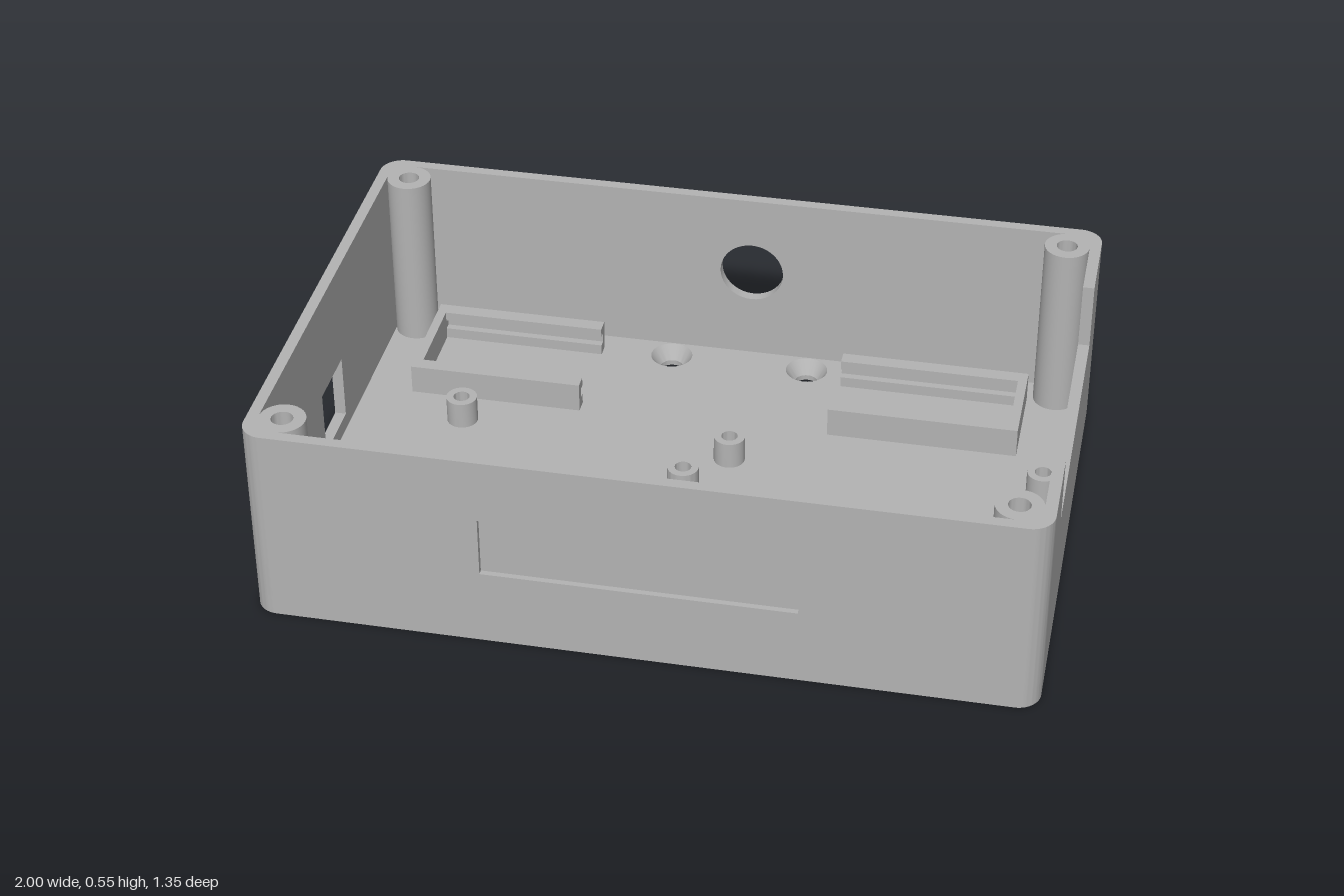
import * as THREE from 'three';
import { toCreasedNormals } from 'three/addons/utils/BufferGeometryUtils.js';

const H = 0.55, FLOOR = 0.055, WALL = 0.03;
const X = 1, Z = 0.675, BX = 0.91, BZ = 0.585; // outer half sizes, corner boss centres

const arc = (cx, cy, r, a0, a1, n = 24) => Array.from({ length: n + 1 }, (_, i) => {
  const a = a0 + (a1 - a0) * i / n;
  return new THREE.Vector2(cx + r * Math.cos(a), cy + r * Math.sin(a));
});
const circle = (cx, cy, r, n = 32) => new THREE.Path(arc(cx, cy, r, 0, Math.PI * 2, n).slice(0, n));
const poly = (pts) => new THREE.Shape(pts.map(([a, b]) => new THREE.Vector2(a, b)));
const rect = (x0, y0, x1, y1) => poly([[x0, y0], [x1, y0], [x1, y1], [x0, y1]]);

export function createModel() {
  const group = new THREE.Group();
  const grey = new THREE.MeshStandardMaterial({ color: 0xb3b3b3 });
  grey.name = 'grey plastic';

  const add = (name, geo) => {
    const mesh = new THREE.Mesh(toCreasedNormals(geo, 0.5), grey);
    mesh.name = name;
    group.add(mesh);
    return mesh;
  };
  const extrude = (shape, depth) =>
    new THREE.ExtrudeGeometry(shape, { depth, bevelEnabled: false, curveSegments: 12 });
  // plan shapes use (x, -z) and rise from y0 to y1
  const rise = (name, shape, y0, y1) =>
    add(name, extrude(shape, y1 - y0).rotateX(-Math.PI / 2).translate(0, y0, 0));

  const standoffs = [[-0.67, -0.17], [0.08, -0.13], [0.92, -0.13], [-0.015, 0.03],
    [-0.015, 0.39], [0.08, 0.455], [0.92, 0.455], [-0.685, 0.455]];
  const screwHoles = [[-0.17, -0.585], [0.215, -0.585], [-0.455, 0.565], [0.555, 0.565]];

  // floor with hexagonal nut pockets and screw holes
  const cr = 0.06, q = Math.PI / 2;
  const floor = new THREE.Shape([
    ...arc(X - cr, Z - cr, cr, 0, q), ...arc(cr - X, Z - cr, cr, q, 2 * q),
    ...arc(cr - X, cr - Z, cr, 2 * q, 3 * q), ...arc(X - cr, cr - Z, cr, 3 * q, 4 * q)]);
  standoffs.forEach(([x, z]) => floor.holes.push(circle(x, -z, 0.035, 6)));
  screwHoles.forEach(([x, z]) => floor.holes.push(circle(x, -z, 0.058)));
  rise('floor', floor, 0, FLOOR);

  // conical seats in the screw holes
  screwHoles.forEach(([x, z]) => {
    const profile = [[0.058, FLOOR], [0.032, 0.015], [0.032, 0], [0.058, 0]];
    add('countersink', new THREE.LatheGeometry(
      profile.map(([r, y]) => new THREE.Vector2(r, y)), 32).translate(x, 0, z));
  });

  // standoffs
  standoffs.forEach(([x, z]) => {
    const ring = new THREE.Shape(circle(x, -z, 0.042).getPoints());
    ring.holes.push(circle(x, -z, 0.022));
    rise('standoff', ring, FLOOR, 0.13);
  });

  // rounded corners joined to the lid screw bosses
  for (const sx of [-1, 1]) for (const sz of [-1, 1]) {
    const pts = [new THREE.Vector2(X, BZ), ...arc(X - cr, Z - cr, cr, 0, q),
      new THREE.Vector2(BX, Z), ...arc(BX, BZ, 0.06, q, 4 * q)];
    const post = new THREE.Shape(pts.map((p) => new THREE.Vector2(p.x * sx, p.y * sz)));
    post.holes.push(circle(BX * sx, BZ * sz, 0.028));
    rise('cornerBoss', post, FLOOR, H);
  }

  // front wall: solid inner layer, outer layer cut for the shallow panel recess
  const recess = 0.015;
  add('frontWall', extrude(rect(-BX, FLOOR, BX, H), WALL - recess).translate(0, 0, Z - WALL));
  const face = rect(-BX, FLOOR, BX, H);
  face.holes.push(rect(-0.4, 0.21, 0.4, 0.375));
  add('frontWallFace', extrude(face, recess).translate(0, 0, Z - recess));

  // back wall with a round port
  const back = rect(-BX, FLOOR, BX, H);
  back.holes.push(circle(0.045, 0.32, 0.088, 40));
  add('backWall', extrude(back, WALL).translate(0, 0, -Z));

  // side walls, drawn in (-z, y)
  const ports = rect(-BZ, FLOOR, BZ, H);
  ports.holes.push(rect(-0.11, 0.1, 0.07, 0.28), rect(-0.49, 0.11, -0.36, 0.28));
  add('portWall', extrude(ports, WALL).rotateY(q).translate(-X, 0, 0));
  const notched = poly([[-BZ, FLOOR], [BZ, FLOOR], [BZ, H], [0.39, H], [0.39, 0.37],
    [-0.39, 0.37], [-0.39, H], [-BZ, H]]);
  add('notchedWall', extrude(notched, WALL).rotateY(q).translate(X - WALL, 0, 0));

  // U-shaped board holders: grooved rails and an end stop
  const top = 0.138, t = 0.04;
  const holder = (xEnd, xOpen, z0, z1) => {
    const s = Math.sign(xOpen - xEnd), len = Math.abs(xOpen - xEnd) - 0.025;
    const stop = new THREE.BoxGeometry(0.025, top - FLOOR, z1 - z0);
    add('holderStop', stop.translate(xEnd + s * 0.0125, (top + FLOOR) / 2, (z0 + z1) / 2));
    for (const [z, dir] of [[z0, 1], [z1, -1]]) {
      const profile = poly([[0, FLOOR], [t, FLOOR], [t, 0.085], [t / 2, 0.085],
        [t / 2, 0.112], [t, 0.112], [t, top], [0, top]].map(([u, y]) => [-(z + dir * u), y]));
      const x = s > 0 ? xEnd + 0.025 : xOpen;
      add('holderRail', extrude(profile, len).rotateY(q).translate(x, 0, 0));
    }
  };
  holder(-0.84, -0.365, -0.59, -0.27);
  holder(0.835, 0.32, -0.565, -0.29);

  return group;
}
